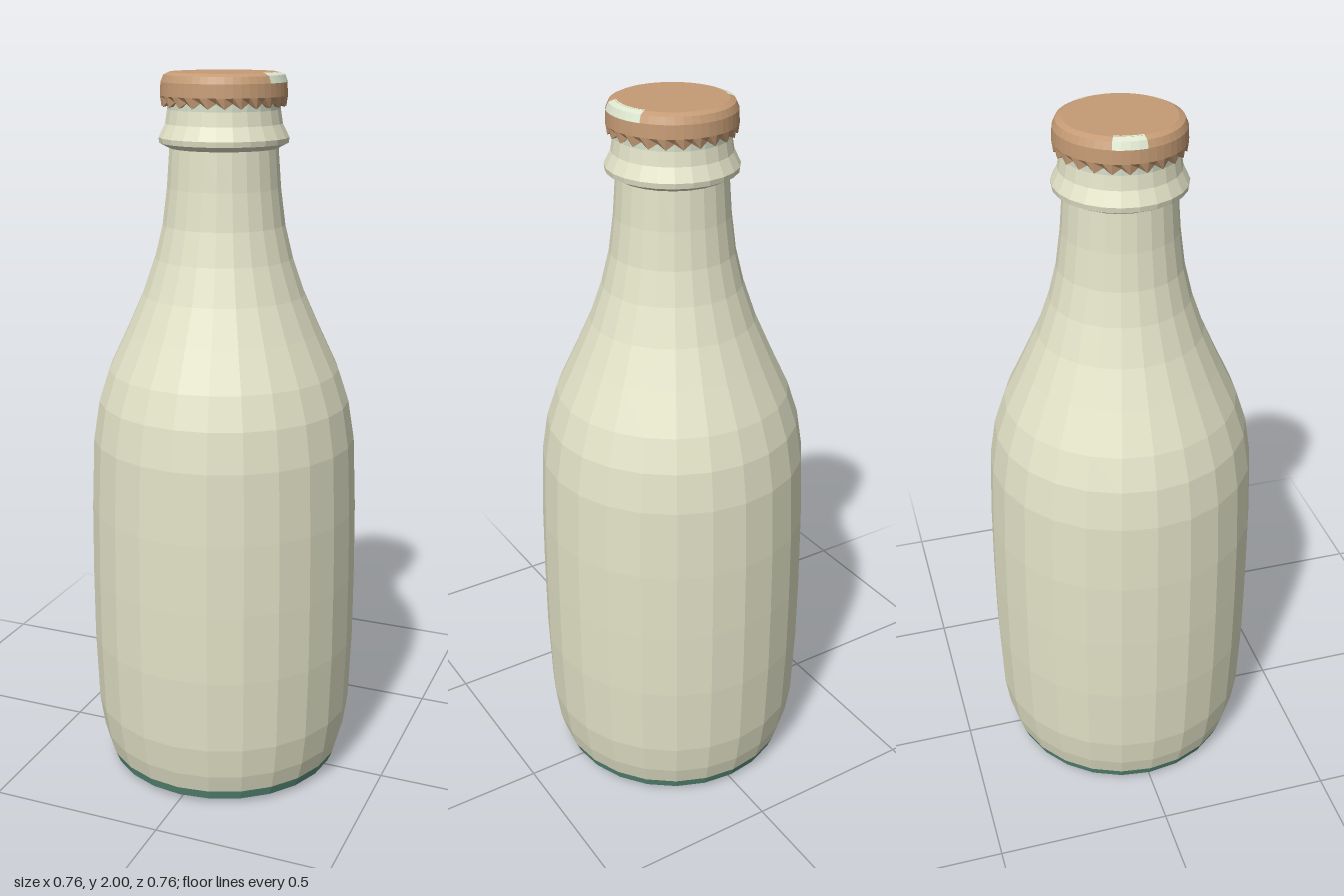
import * as THREE from 'three';

const milk = new THREE.MeshStandardMaterial({ name: 'milk cream', color: 0xe2e2c7 });
const copper = new THREE.MeshStandardMaterial({ name: 'copper cap', color: 0xc59b75 });
const green = new THREE.MeshStandardMaterial({ name: 'green base', color: 0x5f9480 });
const mint = new THREE.MeshStandardMaterial({ name: 'pale mint', color: 0xdfe8d2 });

const SIDES = 24;

// Faceted surface of revolution from [radius, height] pairs, listed bottom to top
function turned(name, profile, material, { sides = SIDES, start = 0, arc = Math.PI * 2, shape } = {}) {
  const points = profile.map(([r, y]) => new THREE.Vector2(r, y));
  let geometry = new THREE.LatheGeometry(points, sides, start, arc);
  if (shape) shape(geometry.attributes.position, points.length);
  geometry = geometry.toNonIndexed();
  geometry.computeVertexNormals();
  const mesh = new THREE.Mesh(geometry, material);
  mesh.name = name;
  return mesh;
}

export function createModel() {
  const bottle = new THREE.Group();
  bottle.name = 'milkBottle';

  // Green foot with a slightly rounded edge
  bottle.add(turned('base', [[0, 0], [0.30, 0], [0.335, 0.015], [0.347, 0.045]], green));

  // Body, sloping shoulder and narrow neck
  bottle.add(turned('body', [
    [0.347, 0.045], [0.362, 0.1], [0.375, 0.19], [0.382, 0.4], [0.382, 0.6], [0.379, 0.8],
    [0.37, 1.0], [0.352, 1.11], [0.322, 1.2], [0.27, 1.31], [0.225, 1.41], [0.19, 1.51],
    [0.168, 1.6], [0.155, 1.7], [0.147, 1.81],
  ], milk));

  // Flared collar below the cap
  bottle.add(turned('collar', [
    [0.145, 1.803], [0.174, 1.818], [0.176, 1.832], [0.158, 1.868], [0.152, 1.905],
  ], milk));
  bottle.add(turned('lip', [[0.152, 1.905], [0.154, 1.93]], mint));

  // Crimped cap: the lower ring alternates in height and radius
  const crimp = (position, rows) => {
    for (let i = 0; i < position.count; i++) {
      if (i % rows > 1 || Math.floor(i / rows) % 2) continue;
      const k = 0.965;
      position.setXYZ(i, position.getX(i) * k, position.getY(i) + 0.014, position.getZ(i) * k);
    }
  };
  bottle.add(turned('cap', [
    [0.15, 1.915], [0.166, 1.912], [0.17, 1.94], [0.168, 1.975], [0.16, 1.993], [0.145, 2.0], [0, 2.0],
  ], copper, { sides: SIDES * 2, shape: crimp }));

  // Worn pale patches on the cap rim, aligned with the cap facets
  const wear = [[0.1695, 1.975], [0.1615, 1.994], [0.142, 2.001]];
  const step = Math.PI / SIDES;
  bottle.add(turned('wornRimLeft', wear, mint, { sides: 7, start: Math.PI / 2 - 3 * step, arc: 7 * step }));
  bottle.add(turned('wornRimRight', wear, mint, { sides: 4, start: Math.PI * 1.5 - 3 * step, arc: 4 * step }));

  return bottle;
}
